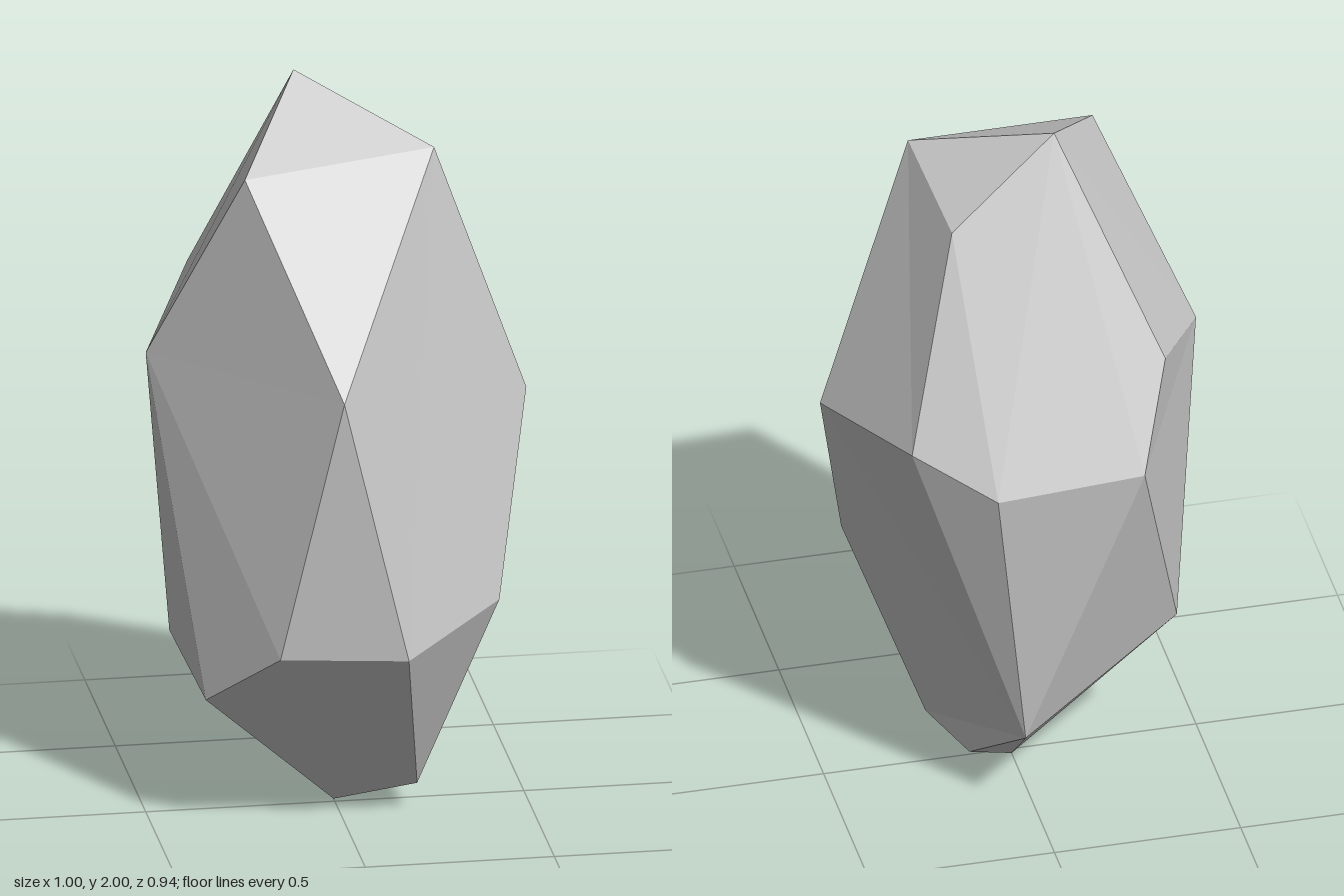
import * as THREE from 'three';

// Corners of the stone, from crown to foot
const corners = {
  // crown
  T: [-0.09, 2.0, -0.12], A: [-0.27, 1.82, 0.2], B: [0.24, 1.86, 0.14], M: [0.195, 1.76, -0.165],
  // shoulder
  C: [-0.05, 1.28, 0.47], D: [-0.5, 1.28, 0], E: [0.5, 1.14, 0.04], N: [0.345, 1.2, -0.345],
  O: [0.145, 1.105, -0.475], P: [-0.25, 1.126, -0.47], Q: [-0.335, 1.4, -0.345],
  // waist
  F: [0.4, 0.62, 0.22], G: [0.125, 0.545, 0.443], H: [-0.205, 0.545, 0.382],
  I: [-0.37, 0.37, 0.18], J: [-0.415, 0.45, -0.14],
  // foot
  R: [0.04, 0.265, -0.345], L: [0.2, 0.08, 0.11], S: [0.13, 0.07, -0.09], K: [0, 0, -0.02],
};

// Facets as corner loops; each is fanned from its first corner
const facets = [
  'BMTAC', 'TADQ', 'TQPOM', // crown
  'MNO', 'NBM', 'NBE', 'BCGFE', 'CADHG', // shoulder
  'ENRLF', 'NRO', 'RPO', 'PRJ', 'PJD', 'PDQ', 'DJIH', // flanks
  'LFGHI', 'KLIJRS', 'KSL', 'LSR', // foot
].map((f) => (f === 'KLIJRS' ? 'KLIJRS' : f));

function facetedStone() {
  const positions = [];
  const inside = new THREE.Vector3(0, 1, 0);
  const normal = new THREE.Vector3();
  for (const loop of facets) {
    const points = [...loop].map((name) => new THREE.Vector3(...corners[name]));
    for (let i = 1; i < points.length - 1; i++) {
      let [a, b, c] = [points[0], points[i], points[i + 1]];
      // turn every triangle outwards
      normal.subVectors(b, a).cross(c.clone().sub(a));
      if (normal.dot(a.clone().sub(inside)) < 0) [b, c] = [c, b];
      for (const p of [a, b, c]) positions.push(p.x, p.y, p.z);
    }
  }
  const geometry = new THREE.BufferGeometry();
  geometry.setAttribute('position', new THREE.Float32BufferAttribute(positions, 3));
  geometry.computeVertexNormals();
  return geometry;
}

export function createModel() {
  const group = new THREE.Group();
  group.name = 'rock';
  const material = new THREE.MeshStandardMaterial({ color: 0xcccccc, flatShading: true });
  const stone = new THREE.Mesh(facetedStone(), material);
  stone.name = 'stone';
  group.add(stone);
  return group;
}
